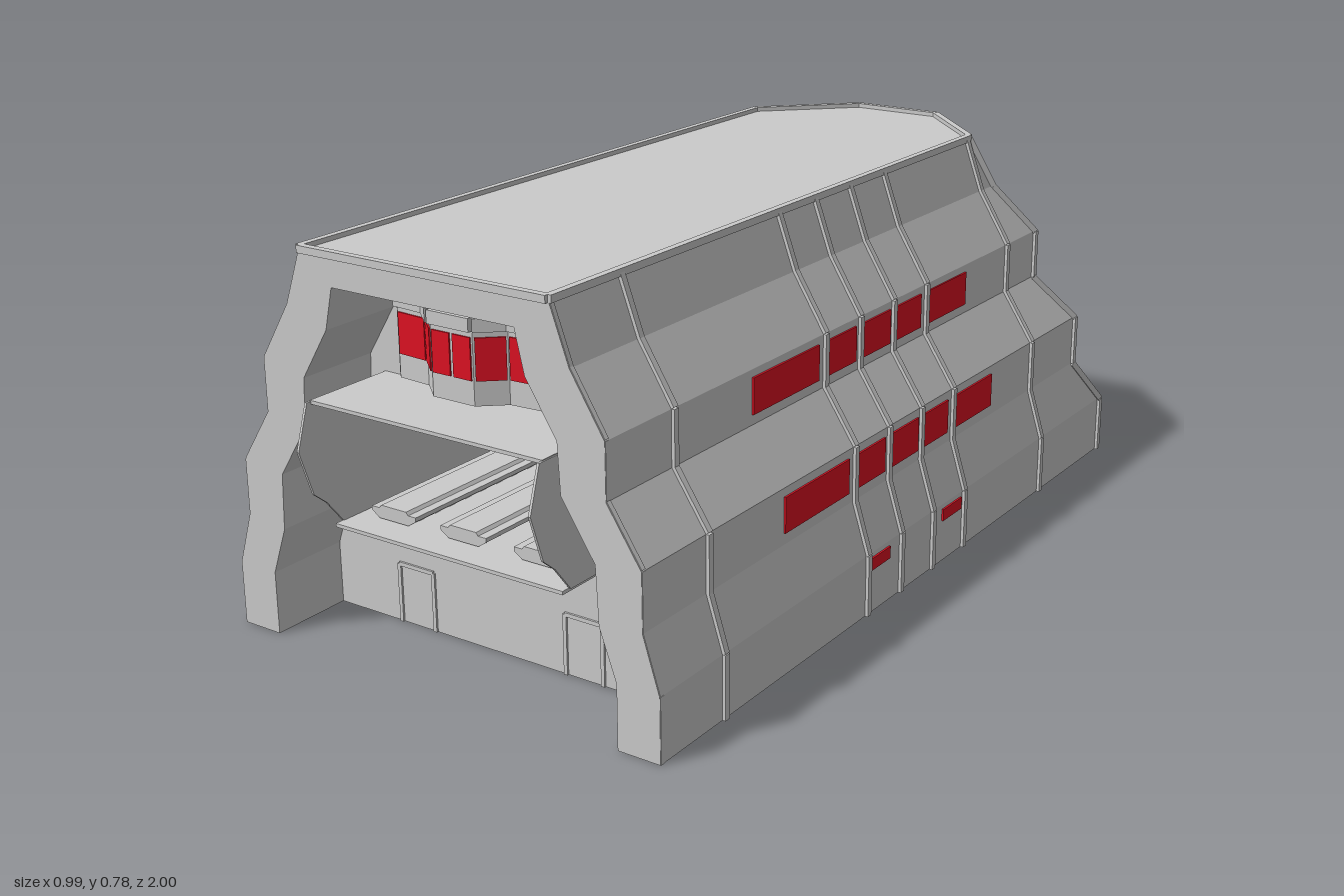
import * as THREE from 'three';

const grey = new THREE.MeshStandardMaterial({ color: 0xcccccc, flatShading: true, side: THREE.DoubleSide });
const red = new THREE.MeshStandardMaterial({ color: 0xdd1122, flatShading: true, side: THREE.DoubleSide });
const V = (x, y, z) => new THREE.Vector3(x, y, z);

// Hull levels: height, side x, z where the rear chamfer starts, rear half width, rear z
const LEVELS = [
  [0, 0.485, -0.815, 0.315, -0.993], [0.125, 0.485, -0.815, 0.315, -0.993],
  [0.23, 0.452, -0.725, 0.28, -0.9], [0.34, 0.452, -0.725, 0.28, -0.9],
  [0.445, 0.383, -0.64, 0.215, -0.81], [0.55, 0.383, -0.64, 0.215, -0.81],
  [0.66, 0.315, -0.56, 0.14, -0.74], [0.77, 0.275, -0.515, 0.1, -0.69],
];
const FRONT = 0.94, WALL = 0.77;
// Half outline of the recessed front opening
const INNER = [[0.397, 0], [0.397, 0.125], [0.363, 0.22], [0.358, 0.33], [0.29, 0.435], [0.285, 0.53], [0.222, 0.63], [0.203, 0.71]];

function add(parent, name, geo, mat = grey) {
  const m = new THREE.Mesh(geo, mat);
  m.name = name;
  parent.add(m);
  return m;
}

function box(parent, name, x0, x1, y0, y1, z0, z1, mat = grey) {
  const m = add(parent, name, new THREE.BoxGeometry(x1 - x0, y1 - y0, z1 - z0), mat);
  m.position.set((x0 + x1) / 2, (y0 + y1) / 2, (z0 + z1) / 2);
  return m;
}

// Flat-faced geometry from a list of four-cornered faces
function quads(list) {
  const pts = list.flatMap(([a, b, c, d]) => [a, b, c, a, c, d]);
  const g = new THREE.BufferGeometry().setFromPoints(pts);
  g.computeVertexNormals();
  return g;
}

// Square bars along a chain of points
function bars(parent, name, pts, w = 0.013) {
  const g = new THREE.Group();
  g.name = name;
  for (let i = 0; i + 1 < pts.length; i++) {
    const m = add(g, name, new THREE.BoxGeometry(w, w, pts[i].distanceTo(pts[i + 1])));
    m.position.lerpVectors(pts[i], pts[i + 1], 0.5);
    m.lookAt(pts[i + 1]);
  }
  parent.add(g);
}

const outlineOf = half => [...half, ...half.map(([x, y]) => [-x, y]).reverse()];
const shapeOf = pts => new THREE.Shape(pts.map(([x, y]) => new THREE.Vector2(x, y)));

function buildHull(root) {
  // Stepped shell, with red glass on the sloping chamfers
  const rings = LEVELS.map(([y, x, zc, xb, zb]) => [
    V(x, y, FRONT), V(x, y, zc), V(xb, y, zb), V(-xb, y, zb), V(-x, y, zc), V(-x, y, FRONT)]);
  const shell = [], glass = [];
  for (let i = 0; i < 7; i++) {
    for (let j = 0; j < 5; j++) {
      const face = [rings[i][j], rings[i][j + 1], rings[i + 1][j + 1], rings[i + 1][j]];
      const isGlass = (j === 1 || j === 3) && [1, 3, 5, 6].includes(i);
      (isGlass ? glass : shell).push(face);
      if (isGlass) {
        bars(root, 'cornerWindowFrame', [face[0], face[1]], 0.01);
        bars(root, 'cornerWindowFrame', [face[2], face[3]], 0.01);
      }
    }
  }
  add(root, 'hullShell', quads(shell));
  add(root, 'cornerWindows', quads(glass), red);

  // Roof and its raised rim
  const top = rings[7];
  const roof = add(root, 'roof', new THREE.ShapeGeometry(shapeOf(top.map(p => [p.x, -p.z]))));
  roof.rotation.x = -Math.PI / 2;
  roof.position.y = 0.768;
  bars(root, 'roofRim', [...top, top[0]], 0.014);

  // Ribs on the sides, chamfer edges and rear
  for (const s of [1, -1]) {
    for (const z of [0.75, 0.26, 0.13, 0, -0.135, -0.5])
      bars(root, 'sideRib', LEVELS.map(l => V(s * l[1], l[0], z)));
    bars(root, 'frontEdge', LEVELS.map(l => V(s * (l[1] - 0.004), l[0], FRONT - 0.006)), 0.01);
    bars(root, 'chamferRib', LEVELS.map(l => V(s * l[1], l[0], l[2])));
    bars(root, 'chamferRib', LEVELS.map(l => V(s * l[3], l[0], l[4])));
    bars(root, 'rearRib', LEVELS.map(l => V(s * 0.095, l[0], l[4])));

    // Side window strips
    const spans = [[0.285, 0.51], [0.148, 0.25], [0.015, 0.122], [-0.11, -0.01], [-0.305, -0.145]];
    for (const [x, y0, y1, list] of [
      [0.383, 0.465, 0.535, spans], [0.452, 0.253, 0.323, spans],
      [0.485, 0.09, 0.115, [[0.178, 0.255], [-0.12, -0.04]]]])
      for (const [z0, z1] of list)
        box(root, 'sideWindow', s * x - 0.004, s * x + 0.004, y0, y1, z0, z1, red);
  }
}

function buildFront(root) {
  const inner = outlineOf(INNER);
  // Arch face around the recess
  const arch = outlineOf(LEVELS.map(l => [l[1], l[0]]));
  const archShape = shapeOf([...arch, ...inner.slice().reverse()]);
  add(root, 'archFace', new THREE.ShapeGeometry(archShape)).position.z = FRONT;

  // Walls and ceiling of the recess, and the feet of the arch
  const reveal = [];
  for (let i = 0; i + 1 < inner.length; i++) {
    const [a, b] = [inner[i], inner[i + 1]];
    reveal.push([V(...a, FRONT), V(...b, FRONT), V(...b, WALL), V(...a, WALL)]);
  }
  add(root, 'recessWalls', quads(reveal));
  for (const s of [1, -1])
    box(root, 'archFoot', s * 0.441 - 0.043, s * 0.441 + 0.043, 0, 0.006, WALL, FRONT);

  // Front wall with the bay opening
  const wall = shapeOf(inner);
  wall.holes.push(new THREE.Path([[-0.25, 0.25], [-0.25, 0.5], [0.272, 0.5], [0.272, 0.25]].map(p => new THREE.Vector2(...p))));
  add(root, 'frontWall', new THREE.ShapeGeometry(wall)).position.z = WALL;

  // Doors and service panels
  for (const s of [1, -1]) {
    const [l, r] = [s * 0.198 - 0.042, s * 0.198 + 0.042];
    bars(root, 'doorFrame', [V(l, 0, WALL), V(l, 0.12, WALL), V(r, 0.12, WALL), V(r, 0, WALL)], 0.008);
    box(root, 'servicePanel', s * 0.075 - 0.041, s * 0.075 + 0.041, 0.175, 0.215, WALL - 0.006, WALL + 0.006);
  }
}

function buildBay(root) {
  const [x0, x1, back] = [-0.25, 0.272, 0.31];
  box(root, 'bayFloor', x0, x1, 0.245, 0.252, back, 0.92);
  box(root, 'bayCeiling', x0, x1, 0.495, 0.502, back, 0.963);
  box(root, 'bayBackWall', x0, x1, 0.25, 0.5, back - 0.005, back);

  // Side plates with a pointed nose; drawn as (z, y)
  const plate = shapeOf([[back, 0.25], [0.9, 0.25], [0.94, 0.3], [0.97, 0.325], [1, 0.415], [0.973, 0.5], [back, 0.5]]);
  for (const x of [x0, x1]) {
    const m = add(root, 'baySidePlate', new THREE.ExtrudeGeometry(plate, { depth: 0.005, bevelEnabled: false }));
    m.rotation.y = -Math.PI / 2;
    m.position.x = x + 0.0025;
  }

  // Long cradles on the bay floor
  const cradle = shapeOf([[-0.035, 0.254], [0.035, 0.254], [0.053, 0.266], [0.053, 0.274], [0.035, 0.274],
    [0.03, 0.28], [-0.03, 0.28], [-0.035, 0.274], [-0.053, 0.274], [-0.053, 0.266]]);
  for (const x of [-0.163, 0.002, 0.171])
    add(root, 'cradle', new THREE.ExtrudeGeometry(cradle, { depth: 0.38, bevelEnabled: false })).position.set(x, 0, 0.48);
}

function buildControlRoom(root) {
  // Faceted bow front, plan as (x, z)
  const plan = [[-0.185, 0.8], [-0.165, 0.82], [-0.093, 0.825], [-0.047, 0.865], [0, 0.865],
    [0.047, 0.865], [0.093, 0.825], [0.165, 0.82], [0.185, 0.8]];
  const outline = shapeOf([[-0.185, -WALL], ...plan.map(([x, z]) => [x, -z]), [0.185, -WALL]]);
  const body = add(root, 'controlRoom', new THREE.ExtrudeGeometry(outline, { depth: 0.16, bevelEnabled: false }));
  body.rotation.x = -Math.PI / 2;
  body.position.y = 0.52;

  // Window and brow on each facet
  for (let i = 1; i < 7; i++) {
    const [a, b] = [plan[i], plan[i + 1]];
    const len = Math.hypot(b[0] - a[0], b[1] - a[1]);
    const turn = -Math.atan2(b[1] - a[1], b[0] - a[0]);
    for (const [name, w, h, y, mat, d] of [
      ['controlWindow', len - 0.007, 0.078, 0.605, red, 0.006], ['windowBrow', len, 0.025, 0.668, grey, 0.02]]) {
      const m = add(root, name, new THREE.BoxGeometry(w, h, d), mat);
      m.position.set((a[0] + b[0]) / 2, y, (a[1] + b[1]) / 2);
      m.rotation.y = turn;
    }
  }
}

export function createModel() {
  const root = new THREE.Group();
  root.name = 'hangar';
  for (const [name, build] of [['hull', buildHull], ['front', buildFront], ['bay', buildBay], ['control', buildControlRoom]]) {
    const g = new THREE.Group();
    g.name = name;
    build(g);
    root.add(g);
  }
  return root;
}
